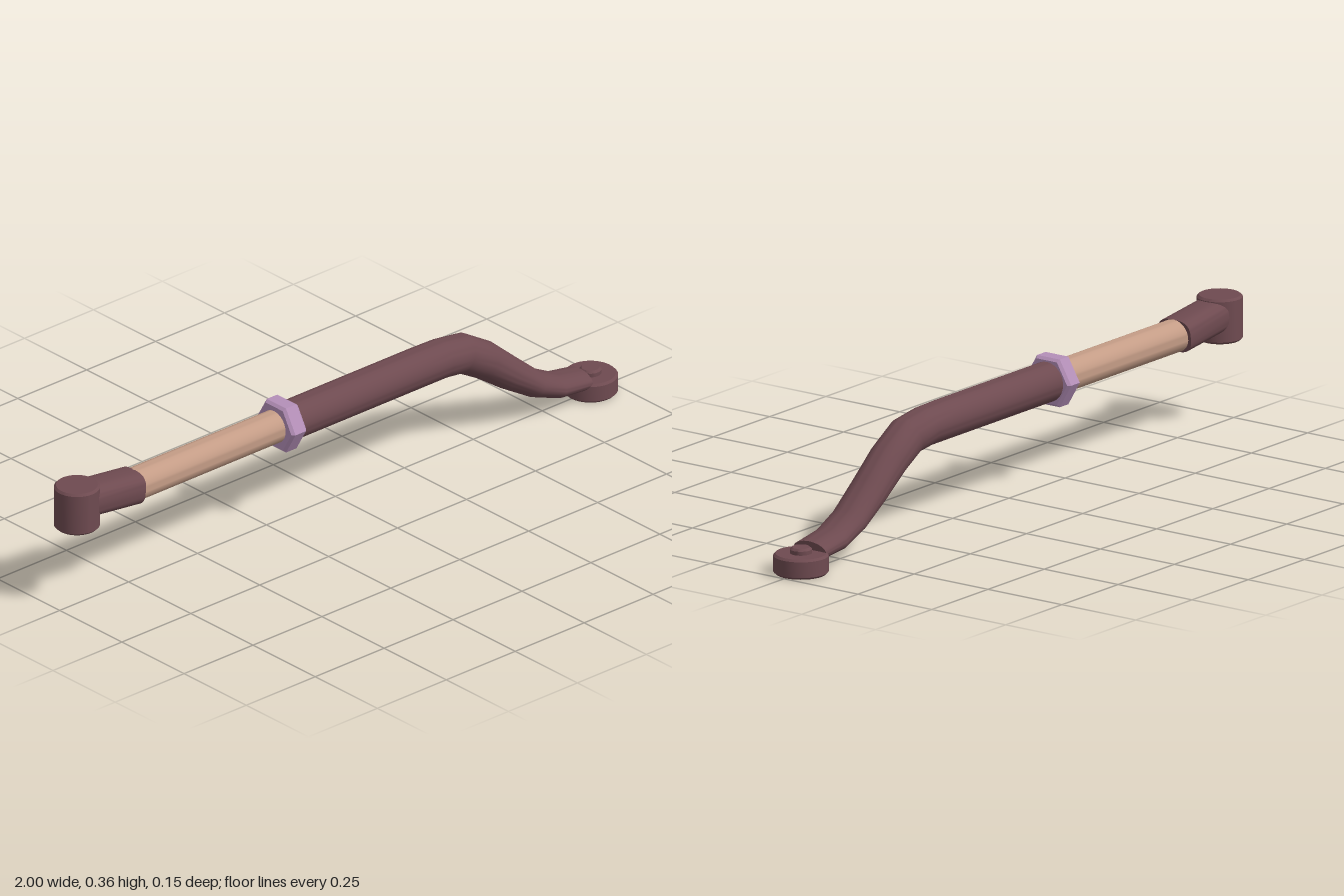
import * as THREE from 'three';
import { toCreasedNormals } from 'three/addons/utils/BufferGeometryUtils.js';

const steel = new THREE.MeshStandardMaterial({ color: 0x6e4a50 });
const brass = new THREE.MeshStandardMaterial({ color: 0xc49c86 });
const violet = new THREE.MeshStandardMaterial({ color: 0xb48fb8 });

function part(name, geometry, material) {
  const mesh = new THREE.Mesh(toCreasedNormals(geometry, 0.6), material);
  mesh.name = name;
  return mesh;
}

// Closed turned solid along y with bevelled rims
function turned(r, y0, y1, bevel, sides) {
  const profile = [[0, y0], [r - bevel, y0], [r, y0 + bevel], [r, y1 - bevel], [r - bevel, y1], [0, y1]];
  return new THREE.LatheGeometry(profile.map(([x, y]) => new THREE.Vector2(x, y)), sides);
}

// Capped loft along stations [x, y, halfHeight, halfWidth]; power above 2 squares the section
function loft(stations, power = 2, sides = 40) {
  const pos = [], index = [], n = stations.length;
  const bend = (v) => Math.sign(v) * Math.abs(v) ** (2 / power);
  stations.forEach(([x, y, h, w], i) => {
    const a = stations[Math.max(i - 1, 0)], b = stations[Math.min(i + 1, n - 1)];
    const t = new THREE.Vector2(b[0] - a[0], b[1] - a[1]).normalize();
    for (let j = 0; j < sides; j++) {
      const ang = (j / sides) * Math.PI * 2;
      const u = h * bend(Math.cos(ang));
      pos.push(x - t.y * u, y + t.x * u, w * bend(Math.sin(ang)));
      const k = (j + 1) % sides, p = i * sides;
      if (i < n - 1) index.push(p + j, p + k, p + sides + j, p + k, p + sides + k, p + sides + j);
    }
  });
  const end = (n - 1) * sides;
  for (let j = 1; j < sides - 1; j++) {
    index.push(0, j + 1, j, end, end + j, end + j + 1);
  }
  const g = new THREE.BufferGeometry();
  g.setAttribute('position', new THREE.Float32BufferAttribute(pos, 3));
  g.setIndex(index);
  return g;
}

export function createModel() {
  const model = new THREE.Group();
  model.name = 'adjustableTrackBar';

  // Upright bushing eye and its slightly tilted neck
  const eye = part('bushingEye', turned(0.0625, 0.235, 0.36, 0.006, 40), steel);
  eye.position.x = -0.9375;
  model.add(eye);
  model.add(part('eyeNeck', loft([[-0.92, 0.311, 0.046, 0.055], [-0.737, 0.289, 0.046, 0.055]], 2.9), steel));

  // Threaded adjuster rod
  const rod = part('adjusterRod', turned(0.046, -0.28, 0.28, 0.002, 40).rotateZ(-Math.PI / 2), brass);
  rod.position.set(-0.47, 0.289, 0);
  model.add(rod);

  // Hexagonal lock nut
  const nut = part('lockNut', turned(0.077, -0.027, 0.027, 0.008, 6).rotateZ(-Math.PI / 2), violet);
  nut.position.set(-0.195, 0.288, 0);
  model.add(nut);

  // Main tube: straight, then bent down and flattened into the lower mount
  model.add(part('bentTube', loft([
    [-0.18, 0.288, 0.0555, 0.0555],
    [0.3, 0.288, 0.0555, 0.0555],
    [0.38, 0.287, 0.0545, 0.0555],
    [0.455, 0.277, 0.055, 0.0555],
    [0.535, 0.23, 0.053, 0.0555],
    [0.62, 0.164, 0.047, 0.0555],
    [0.71, 0.1, 0.038, 0.0555],
    [0.79, 0.065, 0.033, 0.0555],
    [0.885, 0.053, 0.027, 0.0555],
  ]), steel));

  // Flat lower mount disc with its stud
  const disc = part('mountDisc', turned(0.075, 0, 0.056, 0.006, 40), steel);
  const stud = part('mountStud', turned(0.03, 0.05, 0.073, 0.006, 24), steel);
  disc.position.x = stud.position.x = 0.925;
  model.add(disc, stud);

  return model;
}
